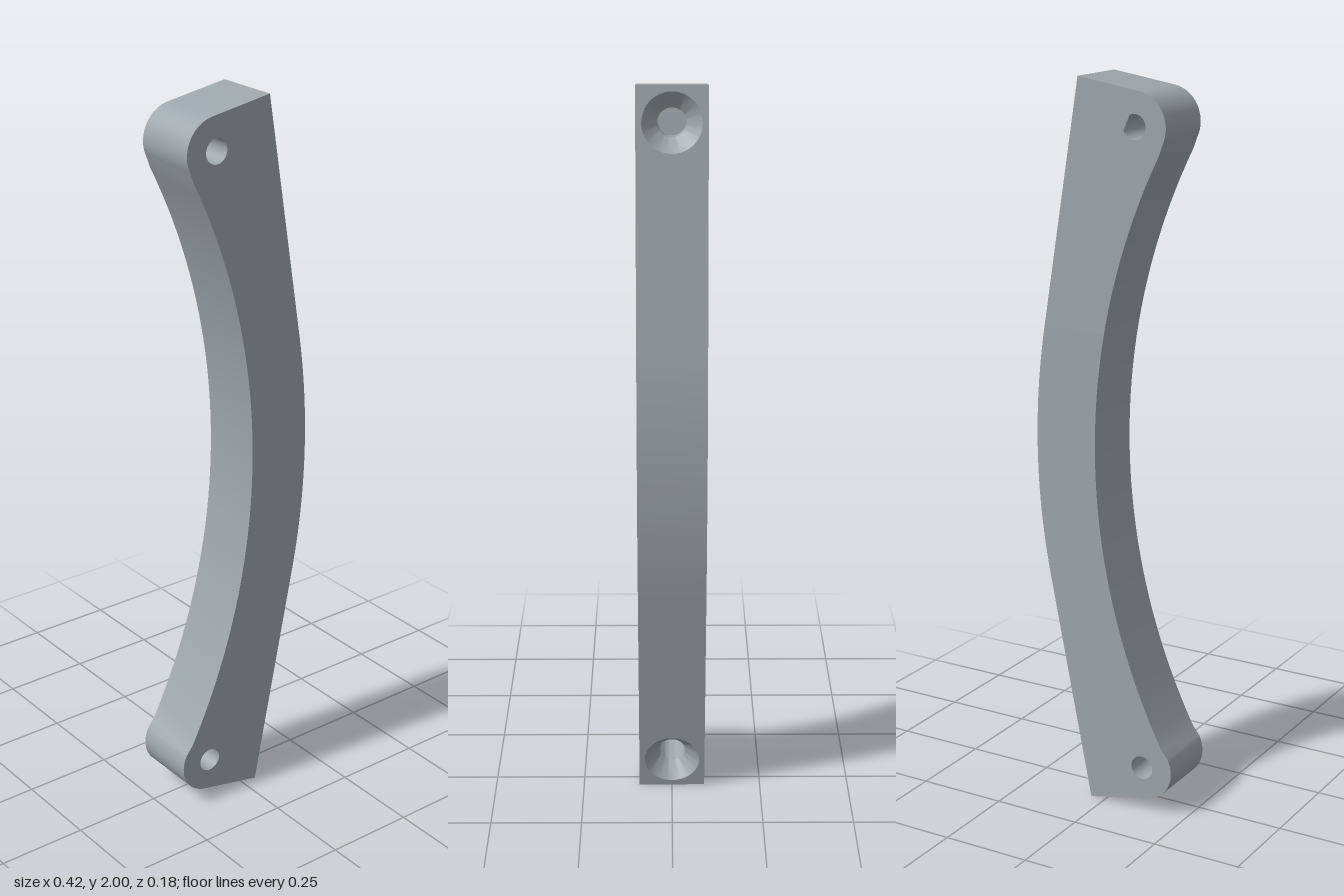
import * as THREE from 'three';
import { mergeVertices, toCreasedNormals } from 'three/addons/utils/BufferGeometryUtils.js';

const H = 0.092;          // half width of the bar
const PIN = 0.033;        // radius of the cross holes
const EAR = 0.091;        // radius of the rounded ears
const SINK = 0.077;       // countersink radius
const BORE = 0.037;       // screw bore radius
const FLAT_HOLE = 0.093;  // countersink distance from the end corner

const V = (x, y) => new THREE.Vector2(x, y);
const rad = THREE.MathUtils.degToRad;

function arc(cx, cy, r, from, to, n) {
  const pts = [];
  for (let i = 0; i <= n; i++) {
    const a = rad(from + ((to - from) * i) / n);
    pts.push(V(cx + r * Math.cos(a), cy + r * Math.sin(a)));
  }
  return pts;
}

// Outward facing wall along a counter-clockwise path
function wall(points) {
  const pos = [];
  for (let i = 0; i < points.length - 1; i++) {
    const a = points[i], b = points[i + 1];
    pos.push(a.x, a.y, -H, b.x, b.y, -H, b.x, b.y, H);
    pos.push(a.x, a.y, -H, b.x, b.y, H, a.x, a.y, H);
  }
  const g = new THREE.BufferGeometry();
  g.setAttribute('position', new THREE.Float32BufferAttribute(pos, 3));
  return toCreasedNormals(mergeVertices(g), 0.5);
}

function circleHole(x, y, r) {
  const p = new THREE.Path();
  p.absarc(x, y, r, 0, Math.PI * 2, true);
  return p;
}

export function createModel() {
  const model = new THREE.Group();
  model.name = 'curvedBracket';
  const metal = new THREE.MeshStandardMaterial({ color: 0x9ea7ad, side: THREE.DoubleSide });
  metal.name = 'grey metal';

  const add = (name, geometry, parent = model) => {
    const mesh = new THREE.Mesh(geometry, metal);
    mesh.name = name;
    parent.add(mesh);
    return mesh;
  };

  // Profile of the bar
  const topCorner = V(0.074, 2), bottomCorner = V(0.043, 0);
  const pins = [V(-0.092, 1.881), V(-0.12, 0.127)];
  const innerPath = [
    topCorner,
    ...arc(pins[0].x, pins[0].y, EAR, 99, 207, 16),
    ...arc(-1.718, 1.02, 1.745, 27, -28.2, 40),
    ...arc(pins[1].x, pins[1].y, EAR, 151, 258.5, 16),
    bottomCorner,
  ];
  const outerPath = arc(-1.718, 1.02, 1.926, -11.2, 9.4, 20);
  const outline = [...innerPath, ...outerPath];

  add('innerEdge', wall(innerPath));
  add('outerCurve', wall(outerPath));

  // Front and back faces with the cross holes
  for (const s of [1, -1]) {
    const shape = new THREE.Shape(outline.map((p) => V(p.x * s, p.y)));
    for (const p of pins) shape.holes.push(circleHole(p.x * s, p.y, PIN));
    const g = new THREE.ShapeGeometry(shape, 32);
    if (s < 0) g.rotateY(Math.PI);
    g.translate(0, 0, s * H);
    add(s > 0 ? 'frontFace' : 'backFace', g);
  }
  for (const p of pins) {
    const g = new THREE.CylinderGeometry(PIN, PIN, 2 * H, 32, 1, true).rotateX(Math.PI / 2);
    add('crossHole', g).position.set(p.x, p.y, 0);
  }

  // Flat outer faces, each with a countersunk screw hole
  const flats = [
    ['upperFlat', topCorner, outerPath[outerPath.length - 1], 1],
    ['lowerFlat', bottomCorner, outerPath[0], -1],
  ];
  for (const [name, corner, end, s] of flats) {
    const length = corner.distanceTo(end);
    const along = new THREE.Vector3(end.x - corner.x, end.y - corner.y, 0).normalize();
    const normal = new THREE.Vector3(-along.y * s, along.x * s, 0);
    const across = new THREE.Vector3().crossVectors(normal, along);
    const flat = new THREE.Group();
    flat.name = name;
    flat.quaternion.setFromRotationMatrix(new THREE.Matrix4().makeBasis(along, across, normal));
    flat.position.set(corner.x, corner.y, 0);
    model.add(flat);

    const face = new THREE.Shape([V(0, -H), V(length, -H), V(length, H), V(0, H)]);
    face.holes.push(circleHole(FLAT_HOLE, 0, SINK));
    add(name + 'Face', new THREE.ShapeGeometry(face, 40), flat);

    const profile = [V(SINK, 0), V(BORE, -0.043), V(BORE, -0.15), V(0, -0.15)];
    const bore = toCreasedNormals(new THREE.LatheGeometry(profile, 40), 0.5).rotateX(Math.PI / 2);
    add('countersunkHole', bore, flat).position.x = FLAT_HOLE;
  }
  return model;
}
